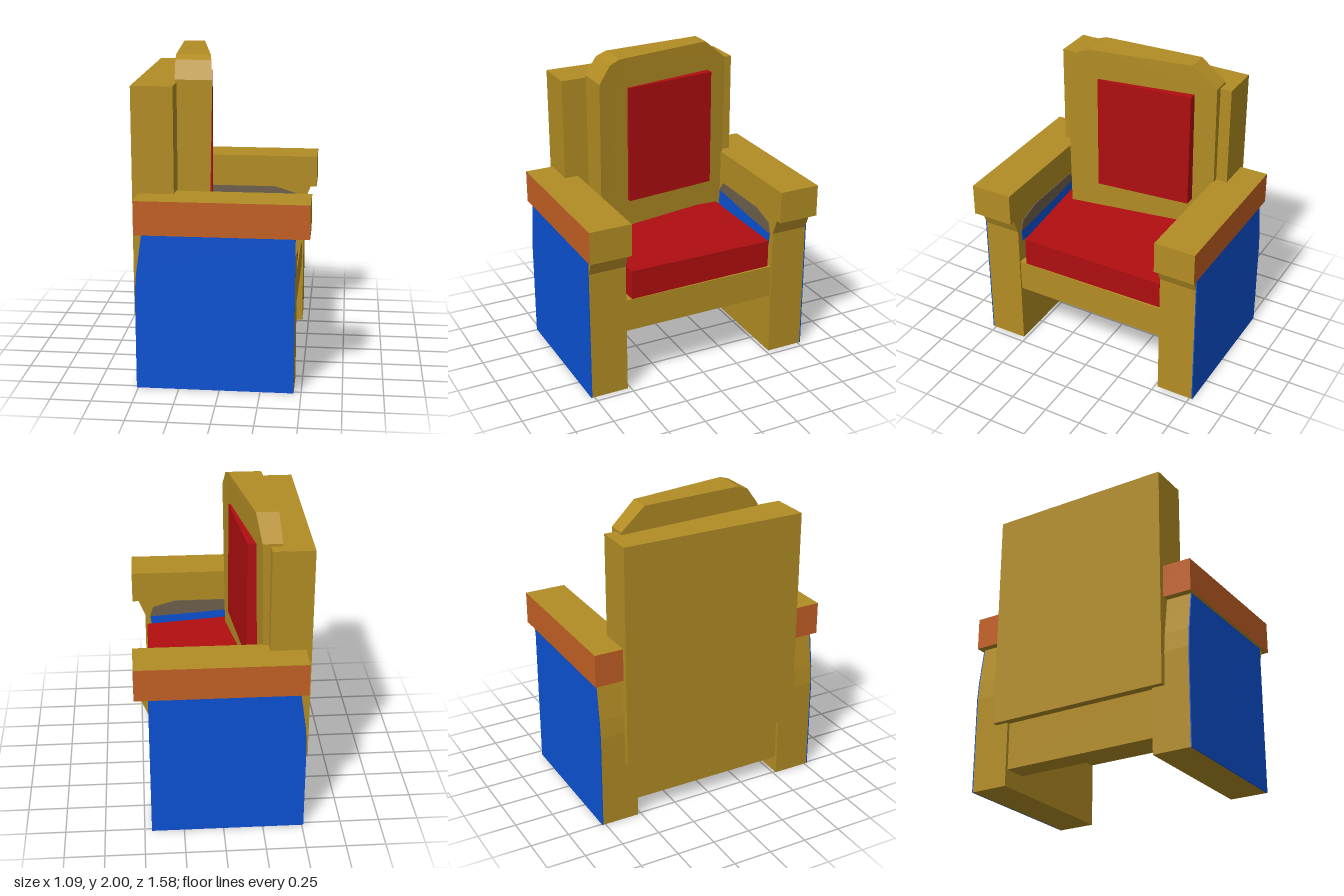
import * as THREE from 'three';

const mat = (name, color) => {
  const m = new THREE.MeshStandardMaterial({ color });
  m.name = name;
  return m;
};

export function createModel() {
  const ochre = mat('ochre wood', 0xb38d24);
  const red = mat('red cushion', 0xb00e10);
  const blue = mat('blue side', 0x0c52d4);
  const orange = mat('orange trim', 0xc46024);
  const grey = mat('grey brown', 0x6e604c);

  const model = new THREE.Group();
  model.name = 'armchair';
  const add = (name, geometry, material) => {
    const mesh = new THREE.Mesh(geometry, material);
    mesh.name = name;
    model.add(mesh);
    return mesh;
  };

  // Box given by its limits
  const box = (x0, x1, y0, y1, z0, z1) =>
    new THREE.BoxGeometry(x1 - x0, y1 - y0, z1 - z0)
      .translate((x0 + x1) / 2, (y0 + y1) / 2, (z0 + z1) / 2);

  const extrude = (points, depth) => new THREE.ExtrudeGeometry(
    new THREE.Shape(points.map(([a, b]) => new THREE.Vector2(a, b))),
    { depth, bevelEnabled: false });

  // Outline in x and y, extruded between two z values
  const sideSlab = (points, z0, z1) => extrude(points, z1 - z0).translate(0, 0, z0);

  // Outline in x and z, extruded upwards
  const planSlab = (points, y0, y1) =>
    extrude(points.map(([x, z]) => [x, -z]), y1 - y0).rotateX(-Math.PI / 2).translate(0, y0, 0);

  // Move every vertex by a rule
  const reshape = (geometry, rule) => {
    const p = geometry.attributes.position;
    const v = new THREE.Vector3();
    for (let i = 0; i < p.count; i++) {
      rule(v.fromBufferAttribute(p, i));
      p.setXYZ(i, v.x, v.y, v.z);
    }
    geometry.computeVertexNormals();
    return geometry;
  };

  // Side panels and armrests
  const outline = [[-0.51, 0], [0.455, 0], [0.455, 0.98], [-0.465, 0.98], [-0.5, 0.74], [-0.51, 0.62]];
  const bracketed = [...outline.slice(0, 2), [0.455, 0.87], [0.5, 0.98], ...outline.slice(3)];
  for (const s of [1, -1]) {
    const side = s > 0 ? 'left' : 'right';
    const slab = (points, a, b) => sideSlab(points, Math.min(s * a, s * b), Math.max(s * a, s * b));
    add(side + 'SidePanel', slab(bracketed, 0.52, 0.765), ochre);
    add(side + 'SideFace', slab(outline, 0.765, 0.772), blue);

    // Orange on the outer face and the rear end
    const [z0, z1] = s > 0 ? [0.515, 0.79] : [-0.79, -0.52];
    add(side + 'Armrest', box(-0.51, 0.54, 0.98, 1.19, z0, z1),
      [ochre, orange, ochre, ochre, s > 0 ? orange : ochre, s > 0 ? ochre : orange]);

    // Painted patches on the inner face
    add(side + 'InnerBluePatch',
      slab([[-0.25, 0.78], [0.41, 0.78], [0.42, 0.86], [0.1, 0.88], [-0.25, 0.91]], 0.514, 0.52), blue);
    add(side + 'InnerGreyPatch',
      slab([[-0.25, 0.91], [0.1, 0.88], [0.42, 0.86], [0.4, 0.93], [0.25, 0.975], [-0.2, 0.975]], 0.514, 0.52), grey);
  }

  // Seat base and rear lower rail
  add('seatBase', box(-0.5, 0.445, 0.415, 0.63, -0.52, 0.52), ochre);
  add('lowerRail', box(-0.49, -0.34, 0.11, 0.42, -0.525, 0.525), ochre);

  // Seat cushion, slightly turned and rising to the rear
  const cushion = planSlab([[-0.22, -0.47], [0.43, -0.505], [0.443, 0.475], [-0.25, 0.51]], 0.62, 0.81);
  add('seatCushion', reshape(cushion, (v) => {
    if (v.y > 0.7) v.y += (0.44 - v.x) * 0.045 + (v.z + 0.5) * 0.012;
  }), red);

  // Outer back
  add('outerBack', box(-0.545, -0.29, 0.41, 1.845, -0.605, 0.605), ochre);

  // Inner back with chamfered top, thicker and further forward towards +z
  const back = extrude([
    [-0.44, 0.6], [0.53, 0.6], [0.53, 1.86], [0.37, 1.995],
    [-0.29, 1.995], [-0.36, 1.97], [-0.44, 1.86],
  ], 1).rotateY(Math.PI / 2);
  add('innerBack', reshape(back, (v) => {
    const t = v.z + 0.53;
    const drop = Math.max(0, 1.86 - v.y) * 0.02;
    v.x = v.x > 0.5 ? -0.24 + t * 0.172 - drop : -0.36 + t * 0.06;
  }), ochre);

  // Back cushion
  add('backCushion',
    planSlab([[-0.3, -0.39], [-0.165, -0.39], [-0.098, 0.235], [-0.25, 0.235]], 1.03, 1.8), red);

  return model;
}
